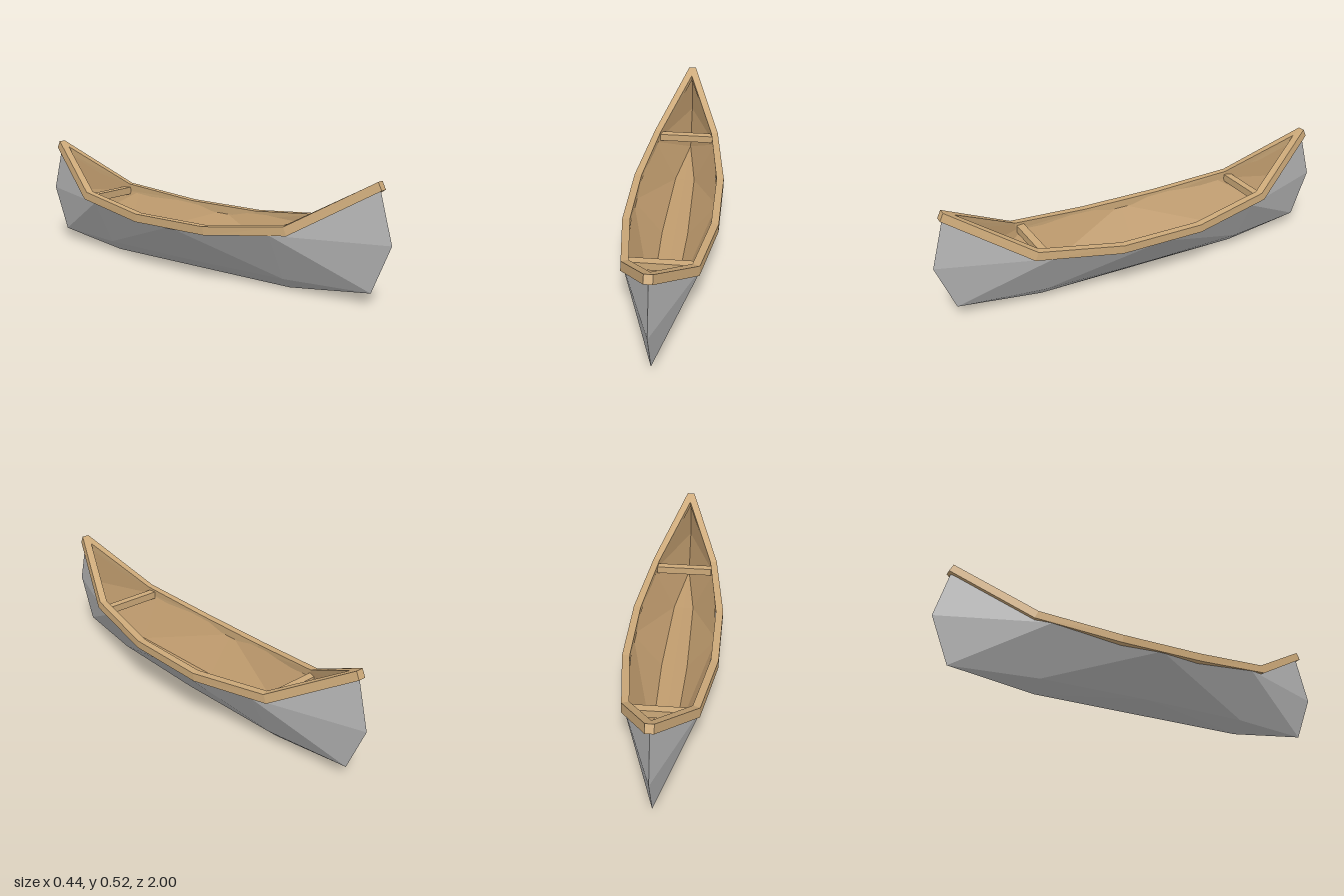
import * as THREE from 'three';

const hullGray = new THREE.MeshStandardMaterial({ color: 0xb2b2b2, flatShading: true });
const wood = new THREE.MeshStandardMaterial({ color: 0xcba878, flatShading: true });
const innerWood = new THREE.MeshStandardMaterial({ color: 0xc09c6e, flatShading: true });

function meshFrom(positions, material, name) {
  const geometry = new THREE.BufferGeometry();
  geometry.setAttribute('position', new THREE.Float32BufferAttribute(positions, 3));
  geometry.computeVertexNormals();
  const mesh = new THREE.Mesh(geometry, material);
  mesh.name = name;
  return mesh;
}

// Mirrors one quarter of a hull skin to all four quarters.
// facing is 1 for a skin seen from outside and -1 for one seen from inside.
function hullSkin(points, facing, material, name) {
  const faces = [
    'rim0 chine0 chine1', 'rim0 chine1 rim1', 'rim1 chine1 stemLow',
    'rim1 stemLow stemMid', 'rim1 stemMid stemTop',
    'chine0 keel0 keel1', 'chine0 keel1 chine1', 'chine1 keel1 stemLow',
  ];
  const centre = new THREE.Vector3(0, 0.2, 0);
  const positions = [];
  for (const sx of [1, -1]) for (const sz of [1, -1]) for (const face of faces) {
    const [a, b, c] = face.split(' ').map((key) => {
      const [x, y, z] = points[key];
      return new THREE.Vector3(x * sx, y, z * sz);
    });
    const normal = b.clone().sub(a).cross(c.clone().sub(a));
    const outward = a.clone().add(b).add(c).divideScalar(3).sub(centre);
    const order = normal.dot(outward) * facing > 0 ? [a, b, c] : [a, c, b];
    for (const p of order) positions.push(p.x, p.y, p.z);
  }
  return meshFrom(positions, material, name);
}

// Closed rectangular rail swept around the rim.
function gunwale() {
  // Corners per station: outer top, inner top, inner bottom, outer bottom
  const stations = [
    [[0.018, 0.525, 0.935], [0, 0.498, 0.885], [0, 0.466, 0.9], [0.018, 0.49, 0.952]],
    [[0.165, 0.315, 0.585], [0.133, 0.315, 0.573], [0.135, 0.278, 0.59], [0.165, 0.278, 0.602]],
    [[0.22, 0.268, 0.2], [0.185, 0.268, 0.195], [0.185, 0.23, 0.2], [0.22, 0.23, 0.205]],
  ];
  const mirror = (station, sx, sz) => station.map(([x, y, z]) => [x * sx, y, z * sz]);
  const reversed = [...stations].reverse();
  const loop = [
    ...stations.map((s) => mirror(s, 1, 1)),
    ...reversed.map((s) => mirror(s, 1, -1)),
    ...stations.map((s) => mirror(s, -1, -1)),
    ...reversed.map((s) => mirror(s, -1, 1)),
  ];
  const positions = [];
  loop.forEach((station, i) => {
    const next = loop[(i + 1) % loop.length];
    for (let k = 0; k < 4; k++) {
      const m = (k + 1) % 4;
      const [a, b, c, d] = [station[k], next[k], next[m], station[m]];
      positions.push(...a, ...b, ...c, ...a, ...c, ...d);
    }
  });
  return meshFrom(positions, wood, 'gunwale');
}

export function createModel() {
  const group = new THREE.Group();
  group.name = 'canoe';

  // Outer skin
  group.add(hullSkin({
    rim0: [0.215, 0.235, 0], rim1: [0.174, 0.27, 0.52],
    chine0: [0.07, 0.052, 0], chine1: [0.058, 0.052, 0.52],
    keel0: [0, 0, 0], keel1: [0, 0, 0.52],
    stemLow: [0, 0.052, 0.915], stemMid: [0, 0.267, 1], stemTop: [0, 0.49, 0.938],
  }, 1, hullGray, 'outerHull'));

  // Inner lining with a flat floor
  group.add(hullSkin({
    rim0: [0.197, 0.24, 0], rim1: [0.155, 0.28, 0.52],
    chine0: [0.062, 0.065, 0], chine1: [0.05, 0.065, 0.51],
    keel0: [0, 0.062, 0], keel1: [0, 0.062, 0.51],
    stemLow: [0, 0.075, 0.86], stemMid: [0, 0.27, 0.95], stemTop: [0, 0.48, 0.915],
  }, -1, innerWood, 'innerHull'));

  group.add(gunwale());

  // Cross bars near both ends
  for (const [name, z] of [['frontThwart', 0.547], ['backThwart', -0.587]]) {
    const thwart = new THREE.Mesh(new THREE.BoxGeometry(0.28, 0.036, 0.036), wood);
    thwart.name = name;
    thwart.position.set(0, 0.28, z);
    group.add(thwart);
  }
  return group;
}
